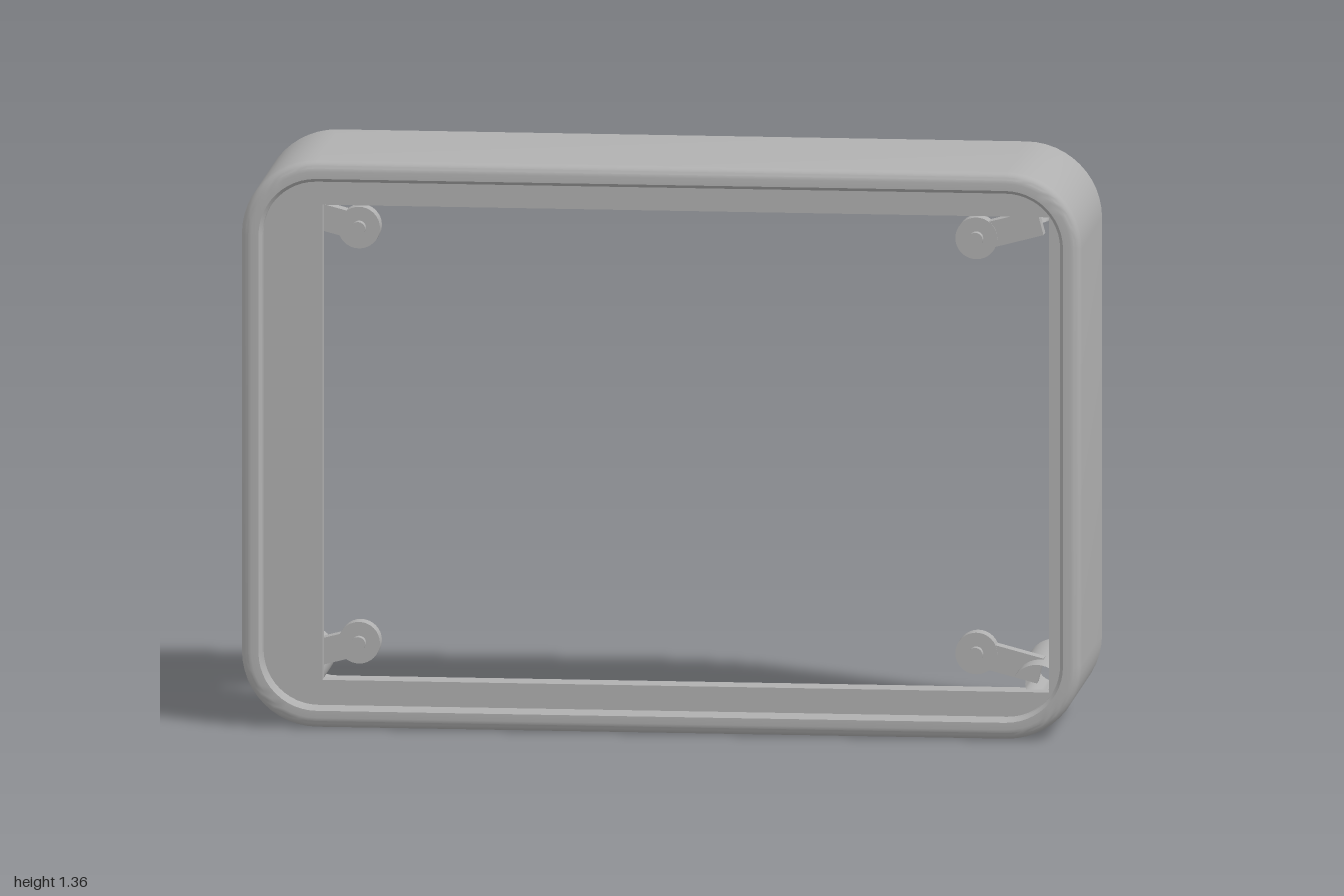
import * as THREE from 'three';
import { toCreasedNormals } from 'three/addons/utils/BufferGeometryUtils.js';

const W = 1, H = 1.36, R = 0.18;          // half width, height, corner radius
const WALL = 0.05, BACK = -0.228, FRONT = 0.22;
const HOLE = { x: -0.393, z: -0.11, r: 0.031, half: 0.08 };

// Stations around the rounded rectangle: corner centre plus outward direction
function outline() {
  const list = [];
  const centres = [[W - R, H - R], [R - W, H - R], [R - W, R], [W - R, R]];
  centres.forEach(([cx, cy], k) => {
    if (k === 3) {
      list.push({ cx: HOLE.x - HOLE.half, cy: R, a: 1.5 * Math.PI, patch: true });
      list.push({ cx: HOLE.x + HOLE.half, cy: R, a: 1.5 * Math.PI });
    }
    for (let i = 0; i <= 12; i++) list.push({ cx, cy, a: (k + i / 12) * Math.PI / 2 });
  });
  return list;
}
const pointAt = (s, inset) => [s.cx + (R - inset) * Math.cos(s.a), s.cy + (R - inset) * Math.sin(s.a)];

// Wall cross-section (inset, z) swept round the outline, left open where the drilled patch goes
function wallGeometry() {
  const profile = [];
  for (let i = 0; i <= 5; i++) {
    const a = (i / 5) * Math.PI / 2;
    profile.push([0.025 * (1 - Math.cos(a)), FRONT + 0.025 * Math.sin(a)]);
  }
  profile.push([0.042, 0.245], [WALL, 0.235], [WALL, FRONT], [WALL, BACK], [0.032, BACK],
    [0.032, -0.245], [0.012, -0.245], [0.012, BACK], [0, BACK]);
  const path = outline(), n = path.length, m = profile.length;
  const pos = [], idx = [];
  for (const s of path) for (const [inset, z] of profile) pos.push(...pointAt(s, inset), z);
  for (let i = 0; i < n; i++) for (let j = 0; j < m; j++) {
    const k = (j + 1) % m, i2 = (i + 1) % n;
    if (path[i].patch && Math.abs(profile[j][1] - profile[k][1]) > 0.3) continue;
    const a = i * m + j, b = i2 * m + j, c = i2 * m + k, d = i * m + k;
    idx.push(a, b, c, a, c, d);
  }
  const g = new THREE.BufferGeometry();
  g.setAttribute('position', new THREE.Float32BufferAttribute(pos, 3));
  g.setIndex(idx);
  return toCreasedNormals(g, 0.6);
}

function rect(Type, x0, x1, y0, y1) {
  return new Type([[x0, y0], [x1, y0], [x1, y1], [x0, y1]].map(p => new THREE.Vector2(...p)));
}

export function createModel() {
  const model = new THREE.Group();
  const grey = new THREE.MeshStandardMaterial({ color: 0xb0b0b0 });
  grey.name = 'grey plastic';
  const add = (name, geometry, x = 0, y = 0, z = 0, parent = model) => {
    const mesh = new THREE.Mesh(geometry, grey);
    mesh.name = name;
    mesh.position.set(x, y, z);
    parent.add(mesh);
    return mesh;
  };

  add('outerWall', wallGeometry());

  // Drilled piece of the bottom wall
  const patch = rect(THREE.Shape, HOLE.x - HOLE.half, HOLE.x + HOLE.half, BACK, FRONT);
  patch.holes.push(new THREE.Path().absarc(HOLE.x, HOLE.z, HOLE.r, 0, Math.PI * 2, true));
  const patchGeo = new THREE.ExtrudeGeometry(patch, { depth: WALL, bevelEnabled: false, curveSegments: 24 });
  add('drilledBottom', toCreasedNormals(patchGeo.rotateX(Math.PI / 2), 0.6), 0, WALL, 0);

  // Recessed front plate with an off-centre window
  const plate = new THREE.Shape(outline().map(s => new THREE.Vector2(...pointAt(s, 0.04))));
  plate.holes.push(rect(THREE.Path, -0.81, 0.92, 0.11, 1.25));
  const plateGeo = new THREE.ExtrudeGeometry(plate, { depth: 0.04, bevelEnabled: false });
  add('frontPlate', toCreasedNormals(plateGeo, 0.6), 0, 0, 0.165);

  // Screw post with a blind bore opening to the back
  const len = 0.385;
  const postProfile = [[0.063, 0], [0.063, len], [0.038, len], [0.038, 0.1], [0, 0.1]];
  const postGeo = toCreasedNormals(
    new THREE.LatheGeometry(postProfile.map(p => new THREE.Vector2(...p)), 32).rotateX(-Math.PI / 2), 0.6);
  const lugGeo = new THREE.CylinderGeometry(0.05, 0.05, 0.045, 32).rotateX(Math.PI / 2);
  const pegGeo = new THREE.CylinderGeometry(0.017, 0.017, 0.03, 20).rotateX(Math.PI / 2);

  // Corner posts, each carrying an arm that ends in a pegged lug
  for (const sx of [-1, 1]) for (const sy of [-1, 1]) {
    const corner = new THREE.Group();
    corner.name = (sy > 0 ? 'top' : 'bottom') + (sx > 0 ? 'Left' : 'Right') + 'Mount';
    const px = sx * 0.887, py = H / 2 + sy * 0.573;
    const lx = sx * 0.735, ly = H / 2 + sy * 0.498;
    add('screwPost', postGeo, px, py, 0.17, corner);
    add('lug', lugGeo, lx, ly, 0.07, corner);
    add('peg', pegGeo, lx, ly, 0.1, corner);
    const ex = px, ey = py - sy * 0.035;
    const arm = add('arm', new THREE.BoxGeometry(Math.hypot(ex - lx, ey - ly), 0.062, 0.04),
      (ex + lx) / 2, (ey + ly) / 2, 0.07, corner);
    arm.rotation.z = Math.atan2(ey - ly, ex - lx);
    model.add(corner);
  }
  return model;
}
